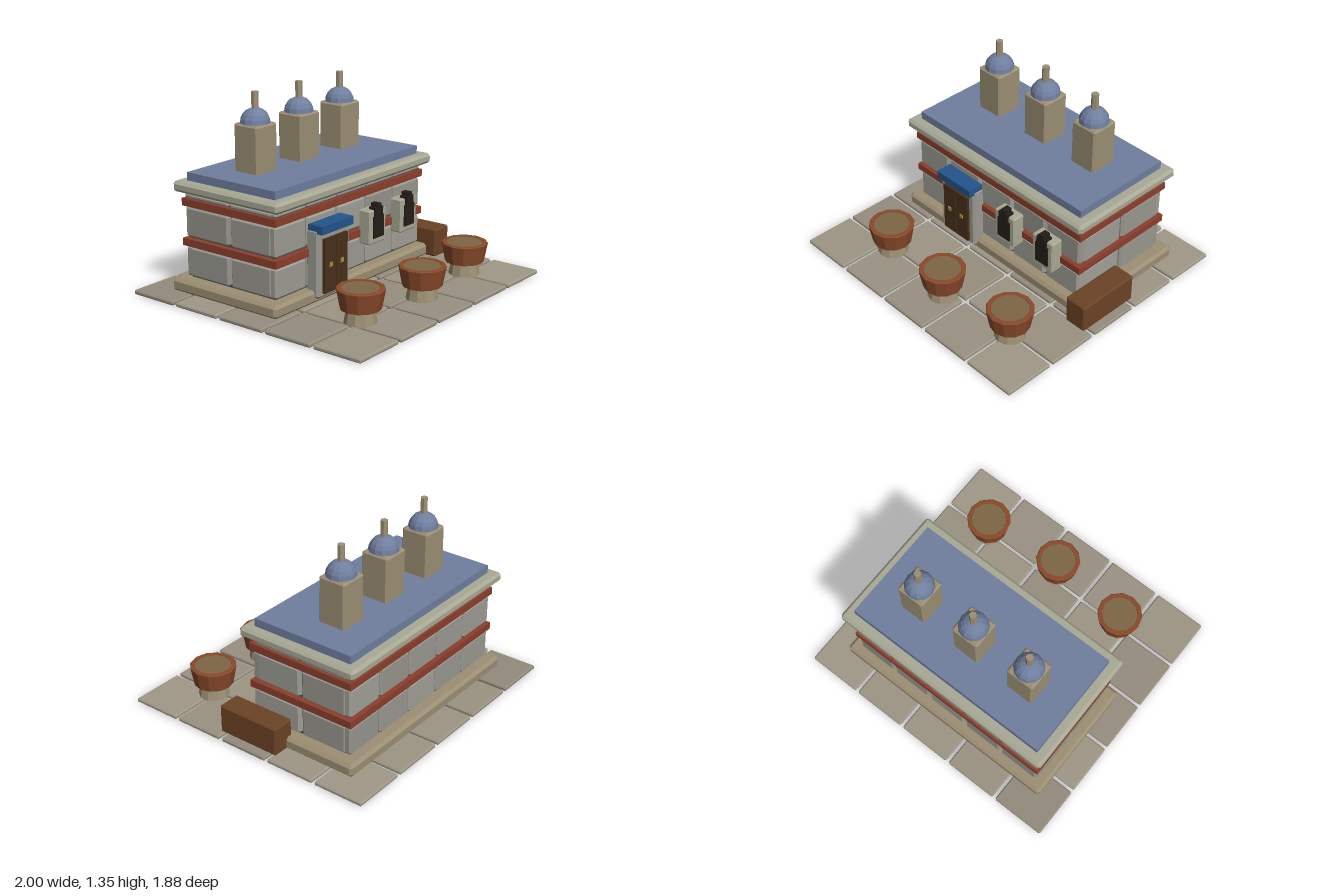
import * as THREE from 'three';
import { ConvexGeometry } from 'three/addons/geometries/ConvexGeometry.js';

const mat = (color) => new THREE.MeshStandardMaterial({ color, flatShading: true });
const STONE = 0x9a9282, SAND = 0x9c8f74, TRIM = 0xa9a995, GREY = 0x9b9a92, BLUE = 0x6f7f9f;
const RED = 0x8c3f2c, WOOD = 0x6b4325, DARK = 0x241d18, DOOR = 0x47301b;

// Small seeded generator for the slight stone-to-stone tint
let seed = 7;
const rand = () => (seed = (seed * 16807) % 2147483647) / 2147483647;
const tint = (color) => new THREE.Color(color).multiplyScalar(0.9 + rand() * 0.2);

// Box with all edges cut at 45 degrees
function chamferBox(w, h, d, c) {
  const points = [];
  for (const sx of [-1, 1]) for (const sy of [-1, 1]) for (const sz of [-1, 1]) {
    const [x, y, z] = [w / 2, h / 2, d / 2];
    points.push(
      new THREE.Vector3(sx * x, sy * (y - c), sz * (z - c)),
      new THREE.Vector3(sx * (x - c), sy * y, sz * (z - c)),
      new THREE.Vector3(sx * (x - c), sy * (y - c), sz * z));
  }
  return new ConvexGeometry(points);
}

// Block given by its limits on each axis; c = 0 leaves sharp edges
function block(parent, name, color, [x0, x1], [y0, y1], [z0, z1], c = 0) {
  const [w, h, d] = [x1 - x0, y1 - y0, z1 - z0];
  const geo = c ? chamferBox(w, h, d, c) : new THREE.BoxGeometry(w, h, d);
  const mesh = new THREE.Mesh(geo, mat(color));
  mesh.name = name;
  mesh.position.set((x0 + x1) / 2, (y0 + y1) / 2, (z0 + z1) / 2);
  parent.add(mesh);
  return mesh;
}

function group(parent, name, x = 0, y = 0, z = 0) {
  const g = new THREE.Group();
  g.name = name;
  g.position.set(x, y, z);
  parent.add(g);
  return g;
}

function part(parent, name, geo, color, y) {
  const mesh = new THREE.Mesh(geo, mat(color));
  mesh.name = name;
  mesh.position.y = y;
  parent.add(mesh);
}

export function createModel() {
  seed = 7;
  const model = new THREE.Group();
  model.name = 'building';

  // Paving: five by five slabs with open joints
  const paving = group(model, 'paving');
  for (let i = 0; i < 5; i++) for (let j = 0; j < 5; j++) {
    const x = (i - 2) * 0.405, z = (j - 2) * 0.38;
    block(paving, 'pavingSlab', tint(STONE),
      [x - 0.19, x + 0.19], [0, 0.03], [z - 0.178, z + 0.178], 0.008);
  }

  // Plinth and wall core
  block(model, 'plinth', SAND, [-0.84, 0.84], [0.025, 0.115], [-0.745, 0.155], 0.02);
  block(model, 'wallCore', 0x4f4c45, [-0.74, 0.74], [0.1, 0.71], [-0.65, 0.07]);

  // Stone courses: five blocks front and back, two on each side
  const walls = group(model, 'walls');
  for (const [y0, y1, c] of [[0.125, 0.33, 0.015], [0.395, 0.6, 0.015], [0.655, 0.69, 0.012]]) {
    for (const [z0, z1] of [[0.02, 0.1], [-0.68, -0.6]]) {
      for (let i = 0; i < 5; i++) {
        const x = (i - 2) * 0.308;
        block(walls, 'wallStone', tint(GREY), [x - 0.148, x + 0.148], [y0, y1], [z0, z1], c);
      }
    }
    for (const s of [-1, 1]) for (const z of [-0.47, -0.11]) {
      const xs = s > 0 ? [0.68, 0.77] : [-0.77, -0.68];
      block(walls, 'sideStone', tint(GREY), xs, [y0, y1], [z - 0.173, z + 0.173], c);
    }
  }

  // Red bands, cornice and roof
  for (const y of [0.335, 0.605]) {
    block(model, 'redBand', RED, [-0.78, 0.78], [y, y + 0.05], [-0.69, 0.11]);
  }
  block(model, 'cornice', TRIM, [-0.82, 0.82], [0.7, 0.77], [-0.735, 0.16], 0.018);
  block(model, 'roofSlab', BLUE, [-0.75, 0.75], [0.76, 0.825], [-0.665, 0.085]);

  // Domed chimneys
  for (const x of [-0.435, 0, 0.435]) {
    const chimney = group(model, 'chimney', x, 0, -0.35);
    block(chimney, 'chimneyShaft', SAND, [-0.1, 0.1], [0.81, 1.14], [-0.1, 0.1], 0.012);
    const dome = new THREE.SphereGeometry(0.1, 12, 5, 0, Math.PI * 2, 0, Math.PI / 2);
    part(chimney, 'dome', dome, BLUE, 1.14);
    part(chimney, 'finial', new THREE.CylinderGeometry(0.025, 0.025, 0.13, 6), SAND, 1.28);
  }

  // Entrance with double door and blue canopy
  const entrance = group(model, 'entrance', -0.293);
  block(entrance, 'doorFrame', GREY, [-0.165, 0.165], [0.06, 0.52], [0.08, 0.182], 0.015);
  for (const s of [-1, 1]) {
    const xs = s > 0 ? [0.003, 0.118] : [-0.118, -0.003];
    block(entrance, 'doorLeaf', DOOR, xs, [0.09, 0.455], [0.16, 0.2]);
    block(entrance, 'doorHandle', 0xb08a3a, [s * 0.057 - 0.014, s * 0.057 + 0.014], [0.262, 0.29], [0.19, 0.207]);
  }
  block(entrance, 'canopy', 0x23548c, [-0.16, 0.16], [0.495, 0.55], [0.1, 0.215]);

  // Wall lamps: stone frame, dark pane and stepped cap
  for (const x of [0.17, 0.52]) {
    const lamp = group(model, 'wallLamp', x);
    block(lamp, 'lampFrame', TRIM, [-0.09, 0.09], [0.285, 0.52], [0.09, 0.185], 0.008);
    block(lamp, 'lampPane', DARK, [-0.055, 0.055], [0.325, 0.475], [0.15, 0.194]);
    block(lamp, 'lampCapLower', DARK, [-0.042, 0.042], [0.47, 0.535], [0.14, 0.197]);
    block(lamp, 'lampCapUpper', DARK, [-0.02, 0.022], [0.53, 0.56], [0.14, 0.197]);
  }

  // Wooden crate against the left wall
  block(model, 'crate', WOOD, [0.785, 0.947], [0.03, 0.23], [-0.23, 0.23], 0.01);

  // Round tubs on flared stone feet
  for (const [x, z] of [[-0.525, 0.575], [0.055, 0.63], [0.632, 0.575]]) {
    const tub = group(model, 'tub', x, 0, z);
    part(tub, 'tubFoot', new THREE.CylinderGeometry(0.088, 0.107, 0.1, 10), SAND, 0.075);
    const profile = [[0, 0.12], [0.132, 0.12], [0.157, 0.25], [0.152, 0.255], [0.125, 0.255], [0.122, 0.24]];
    const body = new THREE.LatheGeometry(profile.map(([r, y]) => new THREE.Vector2(r, y)), 12);
    part(tub, 'tubBody', body, 0x8a4a2a, 0);
    part(tub, 'tubTop', new THREE.CylinderGeometry(0.124, 0.124, 0.02, 12), 0x7d6645, 0.241);
  }
  return model;
}
